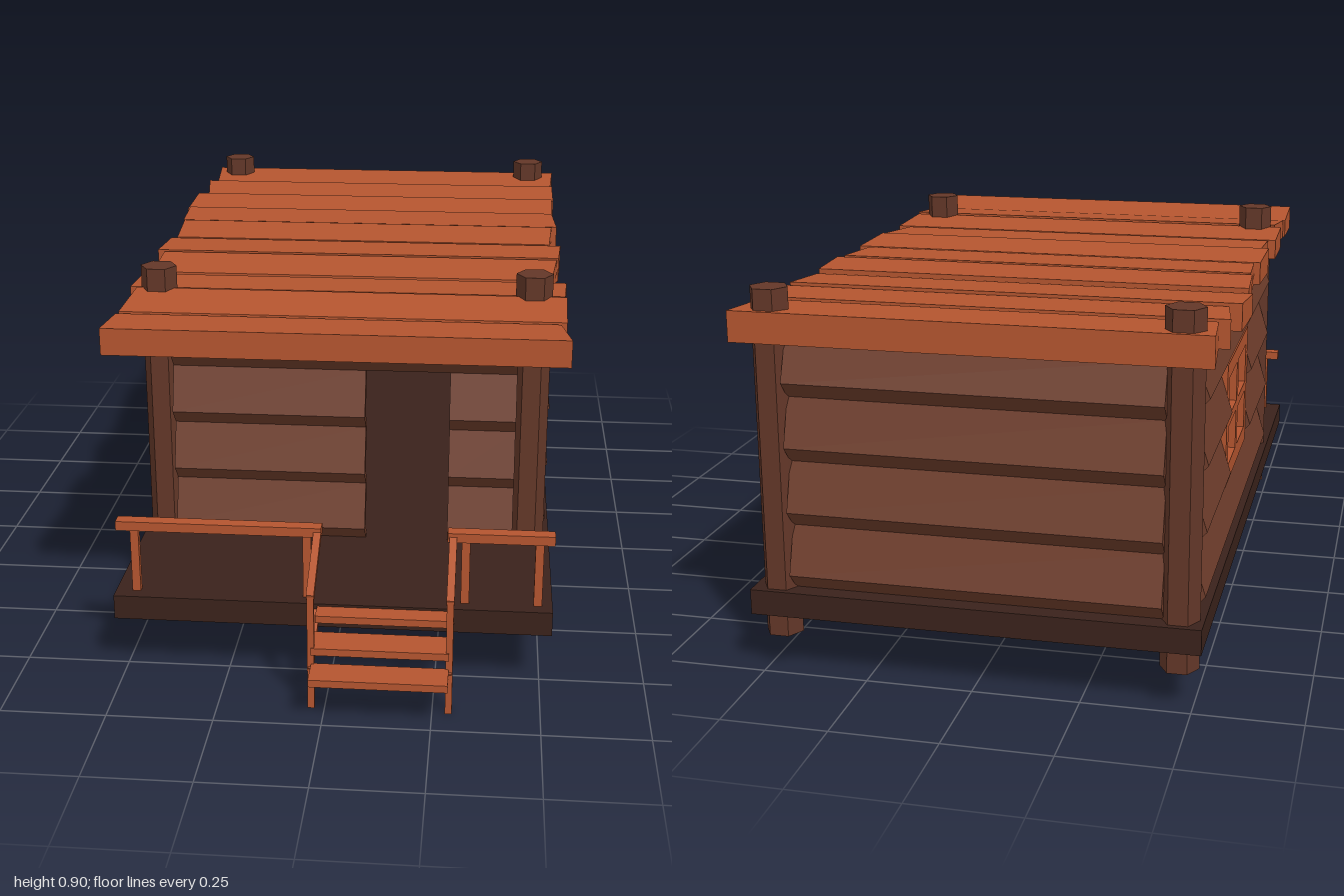
import * as THREE from 'three';

const mat = (color) => new THREE.MeshStandardMaterial({ color, flatShading: true, side: THREE.DoubleSide });

export function createModel() {
  const model = new THREE.Group();
  const orange = mat(0xb4552f), wallWood = mat(0x6e3d2b), postWood = mat(0x633728), floorWood = mat(0x3a221b);

  const add = (name, geometry, material, parent = model) => {
    const mesh = new THREE.Mesh(geometry, material);
    mesh.name = name;
    parent.add(mesh);
    return mesh;
  };
  // Box given by its extents on each axis
  const box = (name, x0, x1, y0, y1, z0, z1, material, parent) => {
    const mesh = add(name, new THREE.BoxGeometry(x1 - x0, y1 - y0, z1 - z0), material, parent);
    mesh.position.set((x0 + x1) / 2, (y0 + y1) / 2, (z0 + z1) / 2);
    return mesh;
  };
  // Sloping bar in the y-z plane
  const slope = (name, x, y0, z0, y1, z1, width, height) => {
    const mesh = add(name, new THREE.BoxGeometry(width, height, Math.hypot(y1 - y0, z1 - z0)), orange);
    mesh.position.set(x, (y0 + y1) / 2, (z0 + z1) / 2);
    mesh.rotation.x = -Math.atan2(y1 - y0, z1 - z0);
  };

  // Floor deck and six-sided corner posts
  box('floorDeck', -0.52, 0.525, 0.14, 0.2, -1, 0.79, floorWood);
  for (const x of [-0.465, 0.465]) for (const z of [-0.947, 0.375]) {
    const post = add('cornerPost', new THREE.CylinderGeometry(0.045, 0.045, 0.82, 6), postWood);
    post.position.set(x, 0.495, z);
    post.rotation.y = Math.PI / 6;
  }

  // Overlapping wall boards: a zigzag profile of rows, extruded along the wall
  const rowY = [0.2, 0.352, 0.505, 0.656, 0.787];
  const wall = (name, angle, distance, panels) => {
    const group = new THREE.Group();
    group.name = name;
    group.rotation.y = angle;
    for (const [r0, r1, a, b] of panels) {
      const outer = [];
      for (let r = r0; r < r1; r++) outer.push([distance, rowY[r]], [distance + 0.036, rowY[r] + 0.039]);
      outer.push([distance, rowY[r1]]);
      const inner = outer.map(([d, y]) => [d - 0.03, y]).reverse();
      const shape = new THREE.Shape([...outer, ...inner].map(([d, y]) => new THREE.Vector2(d, y)));
      const geometry = new THREE.ExtrudeGeometry(shape, { depth: b - a, bevelEnabled: false });
      add('wallBoards', geometry.translate(0, 0, a), wallWood, group);
    }
    model.add(group);
  };
  wall('frontWall', -Math.PI / 2, 0.411, [[0, 3, -0.055, 0.43], [0, 3, -0.43, -0.265], [3, 4, -0.43, 0.43]]);
  wall('backWall', Math.PI / 2, 0.956, [[0, 4, -0.43, 0.43]]);
  const z0 = -0.907, z1 = 0.34, w0 = -0.49, w1 = -0.077;
  wall('rightWall', 0, 0.479, [[0, 1, z0, z1], [1, 3, z0, w0], [1, 3, w1, z1], [3, 4, z0, z1]]);
  wall('leftWall', Math.PI, 0.479, [[0, 1, -z1, -z0], [1, 3, -w0, -z0], [1, 3, -z1, -w1], [3, 4, -z1, -z0]]);

  // Four-pane window frame on each side
  for (const side of [-1, 1]) {
    const shape = new THREE.Shape();
    const rect = (path, a, b, c, d) => path.moveTo(a, c).lineTo(b, c).lineTo(b, d).lineTo(a, d).closePath();
    rect(shape, 0.077, 0.49, 0.35, 0.66);
    for (const [a, b] of [[0.115, 0.265], [0.3, 0.45]]) for (const [c, d] of [[0.395, 0.495], [0.52, 0.62]]) {
      const hole = new THREE.Path();
      rect(hole, a, b, c, d);
      shape.holes.push(hole);
    }
    const frame = add('windowFrame', new THREE.ExtrudeGeometry(shape, { depth: 0.03, bevelEnabled: false }), orange);
    frame.rotation.y = Math.PI / 2;
    frame.position.x = side * 0.487 - 0.015;
  }

  // Uneven roof planks: [z back, z front, left back, left front, right back, right front, top back, top front]
  const planks = [
    [-1, -0.835, -0.535, -0.52, 0.545, 0.535, 0.857, 0.848],
    [-0.825, -0.66, -0.545, -0.52, 0.54, 0.54, 0.852, 0.843],
    [-0.655, -0.49, -0.55, -0.555, 0.535, 0.53, 0.85, 0.838],
    [-0.48, -0.32, -0.545, -0.535, 0.53, 0.54, 0.848, 0.848],
    [-0.31, -0.145, -0.53, -0.52, 0.525, 0.515, 0.85, 0.842],
    [-0.135, 0.025, -0.535, -0.54, 0.545, 0.535, 0.842, 0.85],
    [0.035, 0.2, -0.52, -0.52, 0.53, 0.512, 0.848, 0.838],
    [0.215, 0.37, -0.54, -0.54, 0.55, 0.54, 0.837, 0.847],
    [0.385, 0.55, -0.52, -0.53, 0.545, 0.54, 0.85, 0.837],
    [0.56, 0.725, -0.535, -0.535, 0.525, 0.545, 0.835, 0.85],
  ];
  for (const [back, front, lb, lf, rb, rf, tb, tf] of planks) {
    const geometry = new THREE.BoxGeometry(1, 1, 1);
    const p = geometry.attributes.position;
    for (let i = 0; i < p.count; i++) {
      const atFront = p.getZ(i) > 0;
      const x = p.getX(i) > 0 ? (atFront ? rf : rb) : (atFront ? lf : lb);
      const y = p.getY(i) > 0 ? (atFront ? tf : tb) : 0.785;
      p.setXYZ(i, x, y, atFront ? front : back);
    }
    geometry.computeVertexNormals();
    add('roofPlank', geometry, orange);
  }

  // Porch railings either side of the stairs
  for (const [a, b, posts] of [[-0.512, -0.022, [-0.47, -0.057]], [0.275, 0.525, [0.318, 0.49]]]) {
    box('porchRail', a, b, 0.362, 0.385, 0.735, 0.768, orange);
    for (const x of posts) box('railPost', x - 0.01, x + 0.01, 0.2, 0.365, 0.742, 0.758, orange);
  }

  // Stairs: treads, stringers, front posts and sloping handrails
  for (const [y, back, front] of [[0.098, 0.922, 1], [0.14, 0.848, 0.93], [0.176, 0.77, 0.84]])
    box('stairTread', -0.03, 0.287, y, y + 0.018, back, front, orange);
  for (const x of [-0.031, 0.288]) {
    box('stairPost', x - 0.008, x + 0.008, 0, 0.29, 0.912, 0.926, orange);
    slope('stairRail', x, 0.375, 0.75, 0.285, 0.925, 0.018, 0.018);
    slope('stairStringer', x, 0.18, 0.785, 0.1, 0.925, 0.012, 0.016);
  }
  return model;
}
